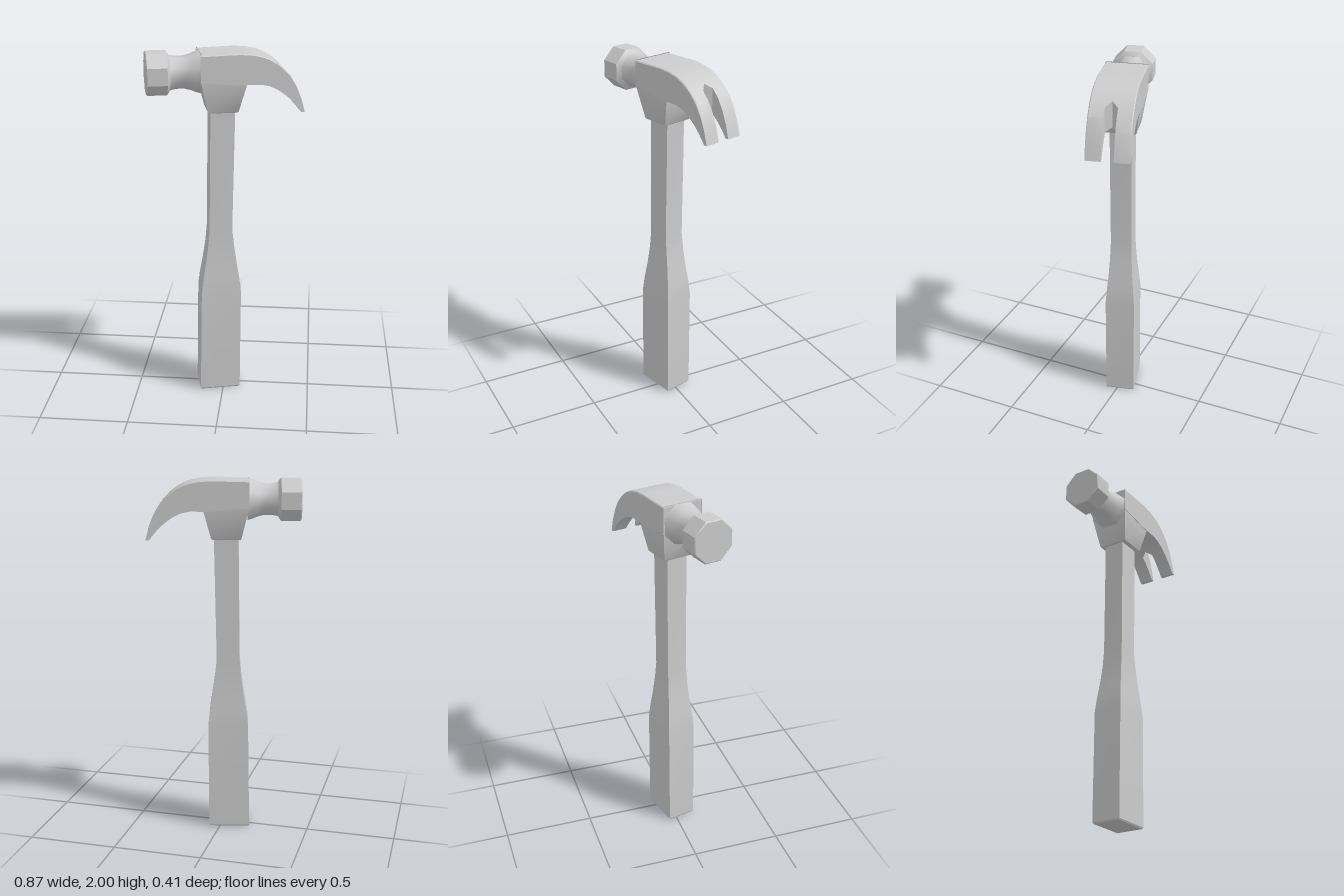
import * as THREE from 'three';
import { toCreasedNormals } from 'three/addons/utils/BufferGeometryUtils.js';

const material = new THREE.MeshStandardMaterial({ color: 0xcccccc });

function addMesh(parent, name, geometry, crease) {
  const mesh = new THREE.Mesh(toCreasedNormals(geometry, crease), material);
  mesh.name = name;
  parent.add(mesh);
}

// Skin a list of rings (counter-clockwise seen from the far end) and cap both ends.
function loft(rings) {
  const n = rings[0].length;
  const index = [];
  const last = (rings.length - 1) * n;
  for (let i = 0; i < rings.length - 1; i++) {
    for (let j = 0; j < n; j++) {
      const a = i * n + j, b = i * n + (j + 1) % n;
      index.push(a, b, b + n, a, b + n, a + n);
    }
  }
  for (let j = 1; j < n - 1; j++) {
    index.push(0, j + 1, j, last, last + j, last + j + 1);
  }
  const geometry = new THREE.BufferGeometry();
  geometry.setAttribute('position', new THREE.Float32BufferAttribute(rings.flat(2), 3));
  geometry.setIndex(index);
  return geometry;
}

// Rectangular ring at height y: centre x, half width a, half depth b.
const rect = ([y, x, a, b]) => [[x - a, y, b], [x + a, y, b], [x + a, y, -b], [x - a, y, -b]];

// Octagonal turned part along x; profile is [x, flat-to-centre radius].
function octagonTurned(profile) {
  const points = profile.map(([x, r]) => new THREE.Vector2(r / Math.cos(Math.PI / 8), -x)).reverse();
  const geometry = new THREE.LatheGeometry(points, 8, Math.PI / 8);
  geometry.rotateZ(Math.PI / 2);
  geometry.translate(0, 1.89, 0);
  return geometry;
}

export function createModel() {
  const hammer = new THREE.Group();
  hammer.name = 'hammer';
  hammer.rotation.y = 0.234;

  // Handle: thick grip, narrowing to a slim shaft
  addMesh(hammer, 'handle', loft([
    [0, -0.035, 0.111, 0.078],
    [0.008, -0.035, 0.116, 0.083],
    [0.62, -0.028, 0.113, 0.083],
    [0.7, -0.027, 0.104, 0.077],
    [0.8, -0.026, 0.088, 0.068],
    [0.9, -0.026, 0.074, 0.062],
    [1.0, -0.027, 0.064, 0.059],
    [1.72, -0.015, 0.067, 0.059],
  ].map(rect)), 0.5);

  // Socket under the head, tapering down onto the handle
  addMesh(hammer, 'socket', loft([
    [1.68, -0.0165, 0.077, 0.082],
    [1.686, -0.0165, 0.082, 0.086],
    [1.855, -0.0135, 0.1245, 0.114],
    [1.9, -0.0135, 0.1245, 0.114],
  ].map(rect)), 0.5);

  // Head and claw: stations of [top x, top y, bottom x, bottom y]
  const stations = [
    [-0.134, 2.0, -0.134, 1.85],
    [-0.139, 1.995, -0.139, 1.855],
    [0.07, 2.0, 0.07, 1.835],
    [0.13, 1.995, 0.112, 1.835],
    [0.185, 1.984, 0.18, 1.835],
    [0.226, 1.968, 0.226, 1.825],
    [0.268, 1.943, 0.268, 1.805],
    [0.295, 1.921, 0.295, 1.787],
    [0.335, 1.88, 0.33, 1.759],
    [0.37, 1.823, 0.358, 1.73],
    [0.398, 1.755, 0.38, 1.704],
    [0.418, 1.68, 0.398, 1.68],
  ];
  // The slot opens from a point to its full width
  const slot = (x) => 0.033 * THREE.MathUtils.clamp((x - 0.268) / 0.027, 0, 1);
  const w = 0.115, c = 0.005;
  for (const side of [1, -1]) {
    const rings = stations.map(([tx, ty, bx, by]) => {
      const edge = Math.min(c, (ty - by) / 2);
      const ring = [
        [tx, ty, slot(tx)], [tx, ty, w - c], [tx, ty - edge, w],
        [bx, by, w], [bx, by, slot(bx)],
      ].map(([x, y, z]) => [x, y, z * side]);
      return side > 0 ? ring : ring.reverse();
    });
    addMesh(hammer, side > 0 ? 'leftClaw' : 'rightClaw', loft(rings), 0.5);
  }

  // Flared neck
  addMesh(hammer, 'neck', octagonTurned([
    [-0.3, 0.09], [-0.285, 0.085], [-0.255, 0.081], [-0.22, 0.081],
    [-0.185, 0.089], [-0.16, 0.099], [-0.13, 0.108],
  ]), 0.9);

  // Striking face
  addMesh(hammer, 'strikingFace', octagonTurned([
    [-0.421, 0], [-0.421, 0.106], [-0.416, 0.111], [-0.31, 0.111], [-0.293, 0.088], [-0.293, 0],
  ]), 0.6);

  const model = new THREE.Group();
  model.name = 'clawHammer';
  model.add(hammer);
  return model;
}
